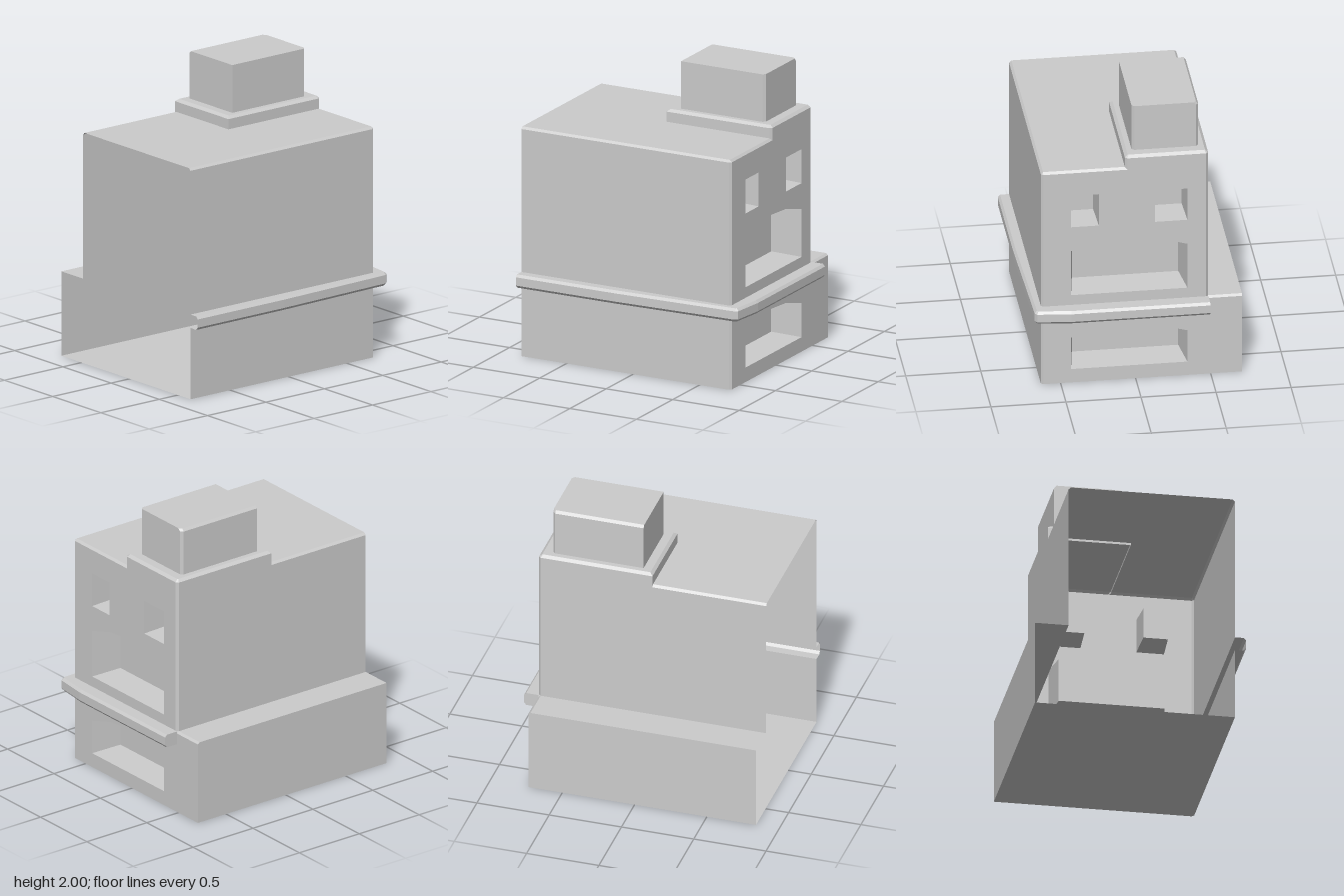
import * as THREE from 'three';

const mat = new THREE.MeshStandardMaterial({ color: 0xcccccc, flatShading: true, side: THREE.DoubleSide });
const L = -0.84, R = 0.735, F = 0.63, B = -0.485, BASE_B = -0.71, C = 0.015;

// Skin between successive rows of [x, y, z] points
function loft(rows, closed = false) {
  const pos = [];
  for (let r = 0; r + 1 < rows.length; r++) {
    const p = rows[r], q = rows[r + 1], n = p.length;
    for (let i = 0; i < (closed ? n : n - 1); i++) {
      const j = (i + 1) % n;
      pos.push(...p[i], ...p[j], ...q[j], ...p[i], ...q[j], ...q[i]);
    }
  }
  const g = new THREE.BufferGeometry();
  g.setAttribute('position', new THREE.Float32BufferAttribute(pos, 3));
  g.computeVertexNormals();
  return g;
}

const shapeOf = (pts) => new THREE.Shape(pts.map(([a, b]) => new THREE.Vector2(a, b)));
const at = (plan, y) => plan.map(([x, z]) => [x, y, z]);

// Flat horizontal face from an x,z outline
const cap = (plan, y) =>
  new THREE.ShapeGeometry(shapeOf(plan.map(([x, z]) => [x, -z]))).rotateX(-Math.PI / 2).translate(0, y, 0);

// Flat face looking towards +x from a z,y outline, with holes
function sideFace(outline, holes, x) {
  const flip = (pts) => pts.map(([z, y]) => [-z, y]);
  const s = shapeOf(flip(outline));
  s.holes = holes.map((h) => shapeOf(flip(h)));
  return new THREE.ShapeGeometry(s).rotateY(Math.PI / 2).translate(x, 0, 0);
}

// Rectangle in plan with its two +x corners cut
const plan = (x0, x1, z0, z1, c) =>
  [[x0, z1], [x1 - c, z1], [x1, z1 - c], [x1, z0 + c], [x1 - c, z0], [x0, z0]];

const archOutline = (b, t) => [[0.43, b], [0.43, t], [0.235, t + 0.06], [0.08, t + 0.075],
  [-0.13, t + 0.06], [-0.345, t], [-0.345, b]];
const rectOutline = (z0, z1, y0, y1) => [[z1, y0], [z1, y1], [z0, y1], [z0, y0]];

// Shrink an outline towards its centre by fixed margins
function inset(pts, dz, dy) {
  const mid = (k) => {
    const v = pts.map((p) => p[k]), lo = Math.min(...v), hi = Math.max(...v);
    return [(lo + hi) / 2, (hi - lo) / 2];
  };
  const [cz, hz] = mid(0), [cy, hy] = mid(1);
  return pts.map(([z, y]) => [cz + (z - cz) * (1 - dz / hz), cy + (y - cy) * (1 - dy / hy)]);
}

export function createModel() {
  const model = new THREE.Group();
  const add = (name, ...geos) => {
    const group = new THREE.Group();
    group.name = name;
    geos.forEach((g, i) => {
      const m = new THREE.Mesh(g, mat);
      m.name = `${name}${i + 1}`;
      group.add(m);
    });
    model.add(group);
  };

  const logNiche = archOutline(0.1, 0.335);
  const fireNiche = archOutline(0.655, 0.985);
  const windows = [rectOutline(0.245, 0.43, 1.165, 1.4), rectOutline(-0.345, -0.13, 1.165, 1.4)];

  // Base: floor, front, rear, rear step and the side with its arched niche
  const frontPlan = [[L, F], [R - C, F], [R, F - C]];
  const stepEdge = (z) => [[R, 0.567, z], [R - C, 0.58, z], [L, 0.58, z]];
  add('base',
    cap([[L, F], [R - C, F], [R, F - C], [R, BASE_B], [L, BASE_B]], 0),
    loft([at(frontPlan, 0), at(frontPlan, 0.49)]),
    loft([at([[R, BASE_B], [R - C, BASE_B], [L, BASE_B]], 0), stepEdge(BASE_B)]),
    loft([stepEdge(BASE_B), stepEdge(B)]),
    sideFace([[F - C, 0], [BASE_B, 0], [BASE_B, 0.567], [B, 0.567], [B, 0.49], [F - C, 0.49]], [logNiche], R));

  // Upper body: open at the left end, bevelled along the top
  const body = plan(L, R, B, F, C);
  const bodyTop = [[L, F - C], [R - C, F - C], [R - C, F - C], [R - C, B + C], [R - C, B + C], [L, B + C]];
  const wall = (pts) => loft([at(pts, 0.58), at(pts, 1.57)]);
  add('upperBody',
    wall(body.slice(0, 3)),
    wall(body.slice(3)),
    loft([at(body, 1.57), at(bodyTop, 1.585)]),
    cap([[L, F - C], [R - C, F - C], [R - C, B + C], [L, B + C]], 1.585),
    sideFace(rectOutline(B + C, F - C, 0.58, 1.57), [fireNiche, ...windows], R));

  // Niches, narrowing slightly towards the back
  const niche = (name, pts, dz, dy) => {
    const back = inset(pts, dz, dy), x = R - 0.21;
    add(name, loft([back.map(([z, y]) => [x, y, z]), pts.map(([z, y]) => [R, y, z])], true),
      sideFace(back, [], x));
  };
  niche('logNiche', logNiche, 0.033, 0.016);
  niche('fireNiche', fireNiche, 0.033, 0.016);
  windows.forEach((w) => niche('smallNiche', w, 0.01, 0.012));

  // Mantel shelf running round the front and side, hollow behind
  const inner = [[L, F], [-0.1, F], [R - C, F], [R, F - C], [R, 0.44], [R, B]];
  const rim = [[L, 0.69], [-0.1, 0.69], [0.785, 0.665], [0.795, 0.655], [0.82, 0.44], [0.82, B]];
  const outer = [[L, 0.705], [-0.1, 0.705], [0.79, 0.68], [0.81, 0.665], [0.835, 0.44], [0.835, B]];
  const rows = [[inner, 0.49], [rim, 0.49], [outer, 0.508], [outer, 0.565], [rim, 0.582], [inner, 0.582]];
  const endProfile = rows.map(([p, y]) => [p[5][0], y]);
  add('mantelShelf',
    loft(rows.map(([p, y]) => at(p, y))),
    new THREE.ShapeGeometry(shapeOf(endProfile.map(([x, y]) => [-x, y]))).rotateY(Math.PI).translate(0, 0, B));

  // Raised shoulder under the chimney
  const shoulder = plan(-0.053, R, B, 0.07, C);
  const shoulderTop = plan(-0.033, R - 0.02, B + 0.02, 0.05, 0.005);
  add('chimneyShoulder',
    loft([at(shoulder, 1.57), at(shoulder, 1.655), at(shoulderTop, 1.672)], true),
    cap(shoulderTop, 1.672));

  // Chimney with a bevel along its rear top edge
  const stack = plan(0.025, 0.655, -0.43, 0.015, 0.018);
  const stackTop = plan(0.025, 0.655, -0.415, 0.015, 0.018);
  add('chimney',
    loft([at(stack, 1.672), at(stack, 1.982), at(stackTop, 2)], true),
    cap(stackTop, 2));

  return model;
}
